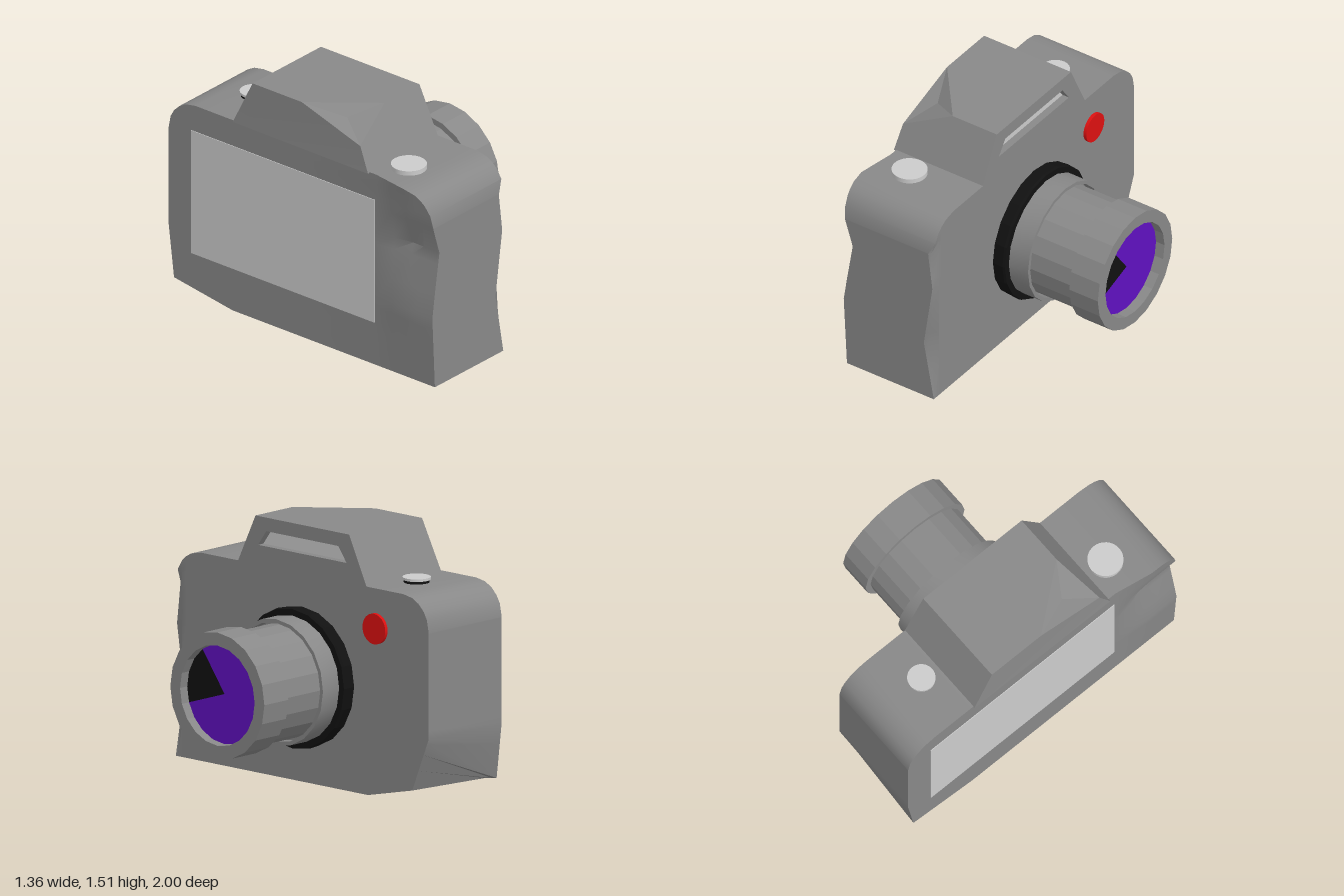
import * as THREE from 'three';
import { toCreasedNormals } from 'three/addons/utils/BufferGeometryUtils.js';

const mat = (color, flatShading = false) => new THREE.MeshStandardMaterial({ color, flatShading });
const GREY = 0xcccccc, DARK = 0x888888, BLACK = 0x111111;

// Piecewise linear lookup in [[in, out], ...]
function lookup(table, t) {
  if (t <= table[0][0]) return table[0][1];
  for (let i = 1; i < table.length; i++) {
    const [a, va] = table[i - 1], [b, vb] = table[i];
    if (t <= b) return va + (vb - va) * (t - a) / (b - a);
  }
  return table[table.length - 1][1];
}

function meshFrom(verts, faces, crease) {
  const pos = [];
  for (const f of faces) for (const i of f) pos.push(...verts[i]);
  const g = new THREE.BufferGeometry();
  g.setAttribute('position', new THREE.Float32BufferAttribute(pos, 3));
  return toCreasedNormals(g, crease);
}

// Body: cross-sections along z, with a wavy grip at the +z end
function bodyGeometry() {
  const stations = [-1, -0.985, -0.96, -0.92, -0.87, -0.8, -0.52, 0, 0.56, 0.68, 0.8, 0.88, 0.92, 0.95, 0.985, 1];
  const rows = [0, 0.2, 0.375, 0.45, 0.6, 0.78, 0.85, 1.02, 1.1, 1.16, 1.225];
  const backWave = [[0, 0], [0.45, -0.025], [0.6, 0], [0.85, 0.045], [1.02, -0.015], [1.225, -0.04]];
  const frontWave = [[0, 0], [0.375, -0.07], [0.78, -0.01], [1.02, -0.04], [1.1, 0]];
  const bottomFront = [[-1, 0.4], [-0.87, 0.08], [-0.52, 0]];
  const bottomBack = [[-1, 0.4], [-0.96, 0.07], [-0.52, 0]];
  const n = rows.length, loop = 2 * n, verts = [], faces = [];
  for (const z of stations) {
    const d = Math.max(0, (Math.abs(z) - 0.8) / 0.2);
    const top = 1.025 + 0.2 * Math.sqrt(Math.max(0, 1 - d * d));
    const wBack = lookup([[0.56, 0], [0.8, 1], [1, 0.9]], z);
    const wFront = lookup([[0.95, 0], [1, 1]], z);
    const row = (r, bottom) => Math.min(top, Math.max(r, lookup(bottom, z)));
    for (const r of rows) {
      const y = row(r, bottomBack);
      verts.push([-0.64 + wBack * lookup(backWave, y), y, z]);
    }
    for (const r of [...rows].reverse()) {
      const y = row(r, bottomFront);
      verts.push([-0.03 + wFront * lookup(frontWave, y), y, z]);
    }
  }
  const quad = (a, b, c, d) => faces.push([a, b, c], [a, c, d]);
  const last = (stations.length - 1) * loop;
  for (let s = 0; s < last; s += loop) {
    for (let i = 0; i < loop; i++) {
      const k = (i + 1) % loop;
      quad(s + i, s + loop + i, s + loop + k, s + k);
    }
  }
  for (let j = 0; j < n - 1; j++) {
    const f = loop - 1 - j;
    quad(last + j, last + f, last + f - 1, last + j + 1);
    quad(j, j + 1, f - 1, f);
  }
  const solid = faces.filter((f) => {
    const [a, b, c] = f.map((i) => new THREE.Vector3(...verts[i]));
    return b.sub(a).cross(c.sub(a)).length() > 1e-7;
  });
  return meshFrom(verts, solid, 0.5);
}

// Rear of the viewfinder hump, with a hollow cut out of one top corner
function humpGeometry() {
  const verts = [
    [-0.65, 1.22, -0.51], [-0.64, 1.51, -0.37], [-0.64, 1.51, 0], [-0.64, 1.37, 0.44], [-0.655, 1.22, 0.51],
    [-0.08, 1.22, -0.51], [-0.08, 1.51, -0.37], [-0.08, 1.51, 0.37], [-0.08, 1.22, 0.51],
    [-0.34, 1.51, 0.37], [-0.53, 1.45, 0.25],
  ];
  const faces = [
    [0, 4, 3], [0, 3, 2], [0, 2, 1], [1, 2, 9], [1, 9, 7], [1, 7, 6], [8, 7, 9], [8, 9, 3], [8, 3, 4],
    [0, 1, 6], [0, 6, 5], [2, 3, 10], [3, 9, 10], [9, 2, 10],
  ];
  return meshFrom(verts, faces, 0.2);
}

export function createModel() {
  const model = new THREE.Group();
  const add = (name, geometry, material, x = 0, y = 0, z = 0, parent = model) => {
    const m = new THREE.Mesh(geometry, material);
    m.name = name;
    m.position.set(x, y, z);
    parent.add(m);
    return m;
  };
  const dark = mat(DARK), grey = mat(GREY), black = mat(BLACK);

  add('body', bodyGeometry(), dark);
  add('viewfinderHump', humpGeometry(), dark);

  // Front of the hump with the flash window pocket
  const poly = (pts) => pts.map(([x, y]) => new THREE.Vector2(x, y));
  const front = new THREE.Shape(poly([[-0.51, 1.22], [0.51, 1.22], [0.37, 1.51], [-0.37, 1.51]]));
  front.holes.push(new THREE.Path(poly([[-0.35, 1.34], [-0.285, 1.43], [0.285, 1.43], [0.35, 1.34]])));
  const frontGeo = new THREE.ExtrudeGeometry(front, { depth: 0.05, bevelEnabled: false });
  add('humpFront', frontGeo.rotateY(Math.PI / 2), dark, -0.08);
  add('flashPanel', new THREE.BoxGeometry(0.01, 0.11, 0.72), grey, -0.08, 1.385, 0);

  // Rear screen
  add('screen', new THREE.BoxGeometry(0.01, 0.79, 1.38), grey, -0.639, 0.665, -0.14);

  // Lens, built around the x axis
  const lens = new THREE.Group();
  lens.name = 'lens';
  lens.position.y = 0.62;
  model.add(lens);
  const turned = (name, pts, color, flat, segs) => {
    let g = new THREE.LatheGeometry(poly(pts), segs).rotateZ(-Math.PI / 2);
    if (!flat) g = toCreasedNormals(g, 0.5);
    add(name, g, mat(color, flat), 0, 0, 0, lens);
  };
  turned('mountRing', [[0.41, -0.03], [0.415, 0.04], [0.41, 0.055], [0.33, 0.055]], BLACK, true, 20);
  turned('baseRing', [[0.372, 0.05], [0.372, 0.19], [0.35, 0.19], [0.35, 0.12], [0.32, 0.12]], DARK, false, 20);
  turned('barrel', [[0.335, 0.05], [0.335, 0.48]], DARK, true, 20);
  turned('frontRing', [[0.33, 0.48], [0.372, 0.48], [0.372, 0.68], [0.295, 0.68], [0.295, 0.61]], DARK, true, 20);

  // Glass with a dark reflection wedge
  const step = Math.PI / 10;
  const sector = (name, segs, start, color) => add(name,
    new THREE.CircleGeometry(0.297, segs, start * step, segs * step).rotateY(Math.PI / 2),
    mat(color), 0.62, 0, 0, lens);
  sector('glass', 16, 11, 0x6010c0);
  sector('glassWedge', 4, 7, BLACK);

  // Buttons
  const disc = (r, h) => new THREE.CylinderGeometry(r, r, h, 32);
  add('shutterButton', disc(0.104, 0.04), grey, -0.45, 1.233, 0.645);
  add('dialBase', disc(0.075, 0.03), black, -0.32, 1.23, -0.63);
  add('dialTop', disc(0.082, 0.015), grey, -0.32, 1.249, -0.63);
  add('redButton', disc(0.09, 0.04).rotateZ(Math.PI / 2), mat(0xdd1111), -0.03, 0.99, -0.585);

  return model;
}
